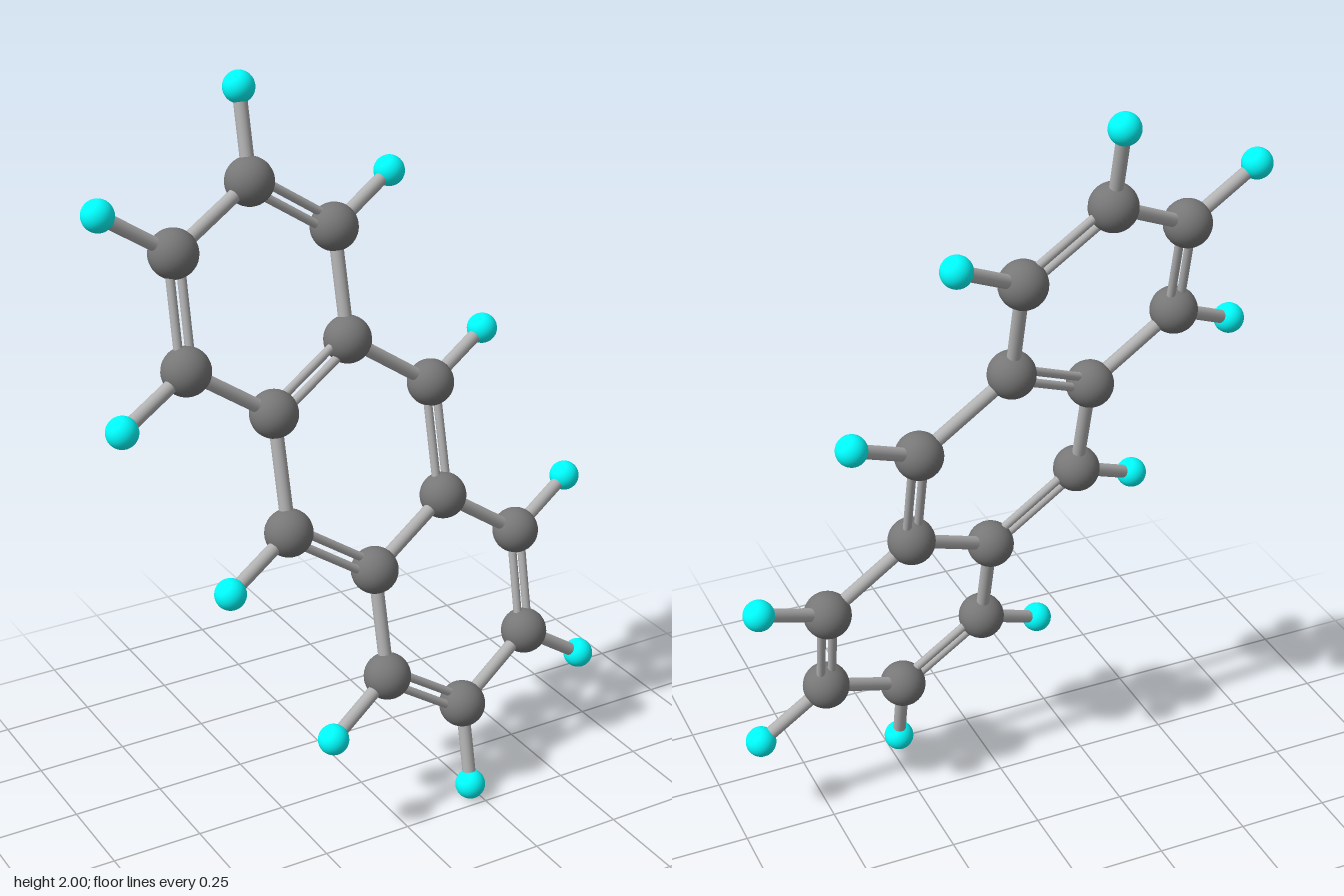
import * as THREE from 'three';

// Flat three-ring molecule: all atoms lie in one tilted plane z = A x + B y
const A = -0.19, B = -0.263;
const place = ([x, y]) => new THREE.Vector3(x, y, A * x + B * y);
const planeNormal = new THREE.Vector3(-A, -B, 1).normalize();

// Half of the atoms, as [x, y] from the centre; the rest are their point reflections
const CARBONS = [
  [-0.231, 0.737], [-0.481, 0.617], [-0.493, 0.34], [-0.254, 0.175],
  [0.005, 0.297], [0.009, 0.578], [0.259, 0.123],
];
const HYDROGENS = [ // [carbon index, x, y]
  [0, -0.2245, 0.96], [1, -0.673, 0.745], [2, -0.696, 0.247],
  [5, 0.209, 0.678], [6, 0.459, 0.217],
];
// Carbon bonds [from, to, count]; indices 7..13 are the reflected carbons
const BONDS = [
  [0, 1, 1], [1, 2, 2], [2, 3, 1], [3, 4, 2], [4, 5, 1], [5, 0, 2],
  [4, 6, 1], [6, 10, 2], [10, 11, 1], [11, 13, 2], [13, 3, 1],
  [7, 8, 1], [8, 9, 2], [9, 10, 1], [11, 12, 1], [12, 7, 2],
];

export function createModel() {
  const model = new THREE.Group();
  model.name = 'molecule';
  const carbonMat = new THREE.MeshStandardMaterial({ color: 0x777777 });
  const hydrogenMat = new THREE.MeshStandardMaterial({ color: 0x00ffff });
  const bondMat = new THREE.MeshStandardMaterial({ color: 0xb2b2b2 });
  const carbonGeo = new THREE.SphereGeometry(0.063, 32, 20);
  const hydrogenGeo = new THREE.SphereGeometry(0.041, 32, 20);

  const atom = (name, geo, mat, p) => {
    const m = new THREE.Mesh(geo, mat);
    m.name = name;
    m.position.copy(p);
    model.add(m);
  };

  // Rod between two points
  const rod = (name, a, b, radius) => {
    const d = b.clone().sub(a);
    const m = new THREE.Mesh(new THREE.CylinderGeometry(radius, radius, d.length(), 16), bondMat);
    m.name = name;
    m.position.copy(a).add(b).multiplyScalar(0.5);
    m.quaternion.setFromUnitVectors(new THREE.Vector3(0, 1, 0), d.normalize());
    model.add(m);
  };

  // Carbon atoms
  const half = CARBONS.map(place);
  const carbons = [...half, ...half.map((p) => p.clone().negate())];
  carbons.forEach((p) => atom('carbonAtom', carbonGeo, carbonMat, p));

  // Single bonds are one rod; double bonds are two thin rods side by side in the plane
  for (const [i, j, count] of BONDS) {
    const a = carbons[i], b = carbons[j];
    if (count === 1) {
      rod('singleBond', a, b, 0.018);
      continue;
    }
    const side = b.clone().sub(a).cross(planeNormal).setLength(0.017);
    for (const s of [-1, 1]) {
      const off = side.clone().multiplyScalar(s);
      rod('doubleBond', a.clone().add(off), b.clone().add(off), 0.0115);
    }
  }

  // Outer hydrogen atoms with their bonds
  for (const [c, x, y] of HYDROGENS) {
    for (const s of [1, -1]) {
      const p = place([s * x, s * y]);
      atom('hydrogenAtom', hydrogenGeo, hydrogenMat, p);
      rod('hydrogenBond', half[c].clone().multiplyScalar(s), p, 0.018);
    }
  }

  model.position.y = 1;
  return model;
}
